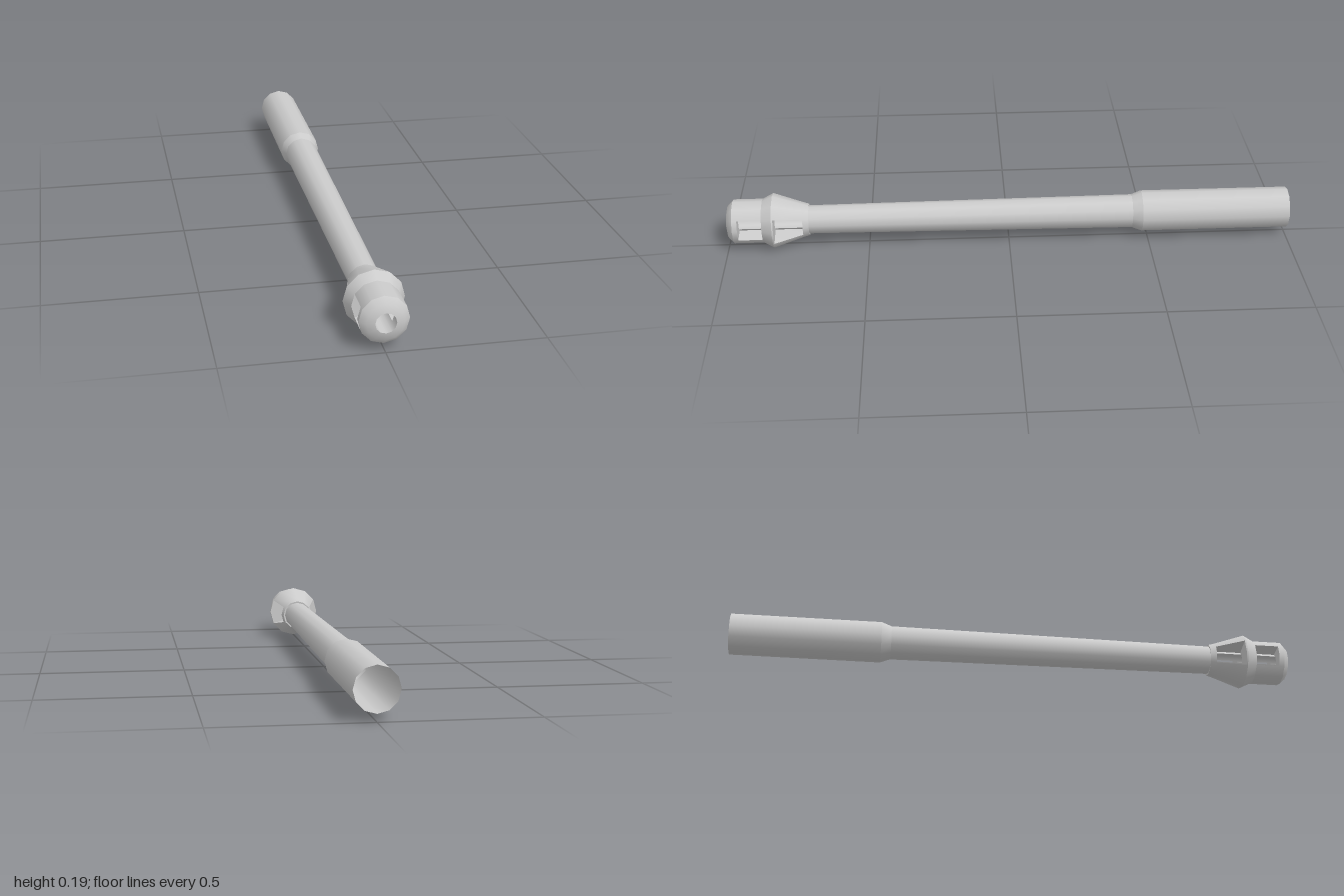
import * as THREE from 'three';

const AXIS_Y = 0.097;
const STEP = Math.PI / 6; // twelve-sided throughout
const BORE = 0.033;
const material = new THREE.MeshStandardMaterial({ color: 0xcccccc, side: THREE.DoubleSide });

// Ring surface around z; profile is [z, radius] from back to front, arc given in 30 degree steps
function ring(name, profile, first = 0, count = 12) {
  const points = profile.map(([z, r]) => new THREE.Vector2(r, z));
  const geometry = new THREE.LatheGeometry(points, count, first * STEP, count * STEP);
  geometry.rotateX(Math.PI / 2);
  const mesh = new THREE.Mesh(geometry, material);
  mesh.name = name;
  return mesh;
}

// Ring with a gap of 60 degrees on each side
function slottedRing(name, profile) {
  const group = new THREE.Group();
  group.name = name;
  group.add(ring(name + 'Bottom', profile, -2, 4), ring(name + 'Top', profile, 4, 4));
  return group;
}

const polar = (r, step) => [r * Math.cos(step * STEP), r * Math.sin(step * STEP)];

// Flat end wall of a side port, from the outer skin in to the bore
function portEnd(side, z, r) {
  const outline = [
    ...[-1, 0, 1].map((s) => polar(r, s)),
    ...[2, 1, 0, -1, -2].map((s) => polar(BORE, s)),
  ].map(([x, y]) => new THREE.Vector2(x * side, y));
  const mesh = new THREE.Mesh(new THREE.ShapeGeometry(new THREE.Shape(outline)), material);
  mesh.position.z = z;
  mesh.name = 'portEndWall';
  return mesh;
}

// Sloping roof or floor of a side port
function portCheek(side, up, [z0, r0], [z1, r1]) {
  const corner = (r, step, z) => {
    const [x, y] = polar(r, step);
    return [x * side, y * up, z];
  };
  const corners = [corner(r0, 1, z0), corner(r1, 1, z1), corner(BORE, 2, z1), corner(BORE, 2, z0)];
  const geometry = new THREE.BufferGeometry();
  geometry.setAttribute('position', new THREE.Float32BufferAttribute(corners.flat(), 3));
  geometry.setIndex(side * up > 0 ? [0, 2, 1, 0, 3, 2] : [0, 1, 2, 0, 2, 3]);
  geometry.computeVertexNormals();
  const mesh = new THREE.Mesh(geometry, material);
  mesh.name = 'portCheek';
  return mesh;
}

// Pair of mirrored ports cut through the brake between two stations
function ports(name, back, front) {
  const group = new THREE.Group();
  group.name = name;
  group.add(slottedRing('outerSkin', [back, front]));
  group.add(slottedRing('boreSkin', [[back[0], BORE], [front[0], BORE]]));
  for (const side of [-1, 1]) {
    group.add(portEnd(side, back[0], back[1]), portEnd(side, front[0], front[1]));
    for (const up of [-1, 1]) group.add(portCheek(side, up, back, front));
  }
  return group;
}

export function createModel() {
  const model = new THREE.Group();
  model.name = 'barrelWithMuzzleBrake';
  model.position.y = AXIS_Y;

  // Barrel, open at the rear
  model.add(
    ring('rearSleeve', [[-1, 0.072], [-0.475, 0.072]]),
    ring('sleeveShoulder', [[-0.475, 0.072], [-0.44, 0.059]]),
    ring('barrelTube', [[-0.44, 0.059], [0.71, 0.05]]),
  );

  // Muzzle brake skin and its two pairs of ports
  model.add(
    ring('brakeBackFace', [[0.71, 0.05], [0.709, 0.056]]),
    ring('brakeRearCollar', [[0.709, 0.056], [0.73, 0.062]]),
    ports('rearPorts', [0.73, 0.062], [0.83, 0.0955]),
    ring('brakeRidge', [[0.83, 0.0955], [0.835, 0.097]]),
    ring('brakeRidgeFront', [[0.835, 0.097], [0.872, 0.078]]),
    ports('frontPorts', [0.872, 0.078], [0.957, 0.078]),
    ring('muzzleRim', [[0.957, 0.078], [0.975, 0.078]]),
    ring('muzzleDome', [[0.975, 0.078], [0.994, 0.059], [1, BORE]]),
  );

  // Bore between the ports, closed behind the rear pair
  model.add(
    ring('frontBore', [[0.957, BORE], [1, BORE]]),
    ring('middleBore', [[0.83, BORE], [0.872, BORE]]),
  );
  const boreEnd = new THREE.Mesh(new THREE.CircleGeometry(BORE, 12), material);
  boreEnd.name = 'boreEnd';
  boreEnd.position.z = 0.73;
  model.add(boreEnd);

  const root = new THREE.Group();
  root.name = 'model';
  root.add(model);
  return root;
}
